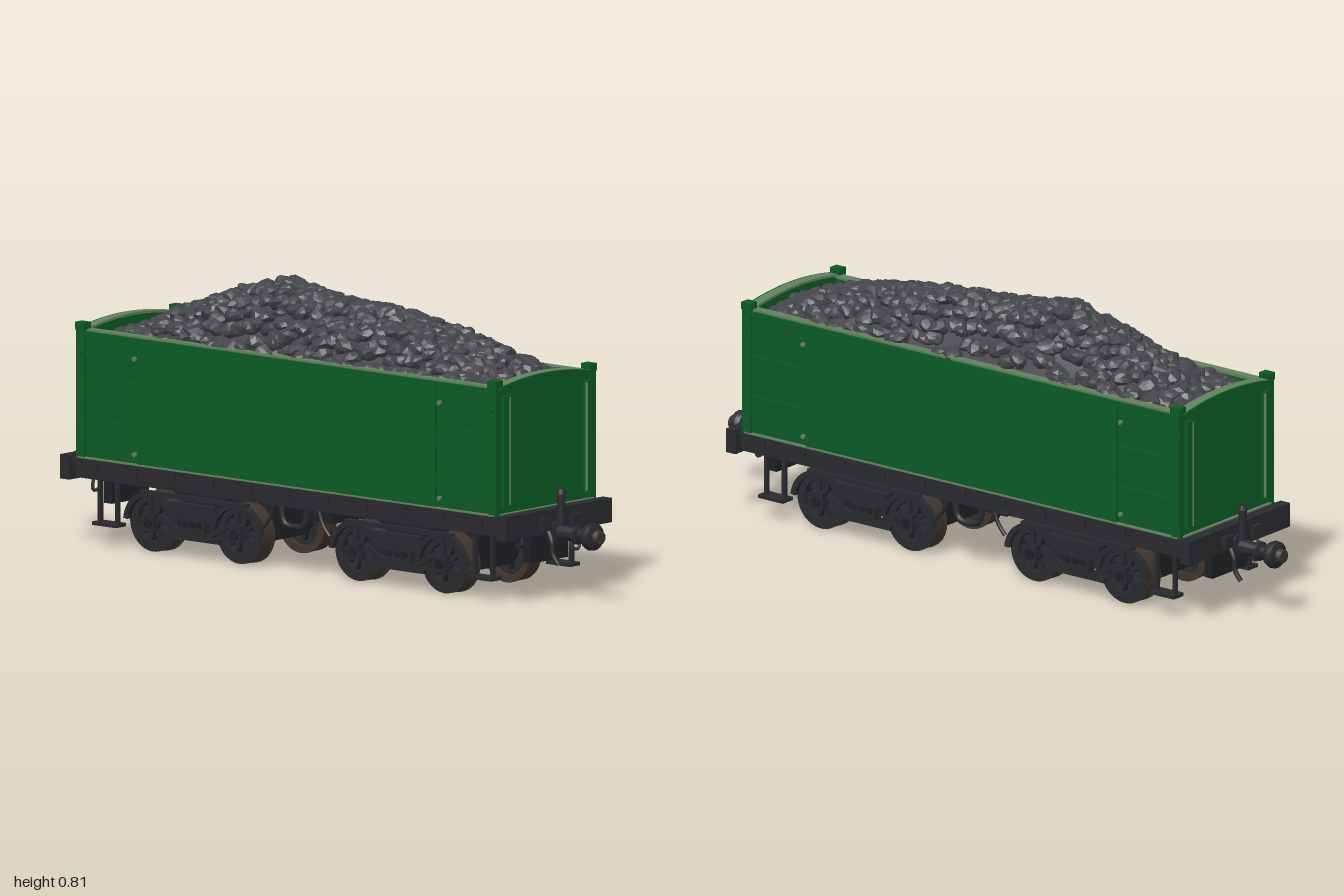
import * as THREE from 'three';
import { mergeGeometries, toCreasedNormals } from 'three/addons/utils/BufferGeometryUtils.js';

const mat = (name, color) => Object.assign(new THREE.MeshStandardMaterial({ color }), { name });

export function createModel() {
  const green = mat('body green', 0x0a5a24);
  const trim = mat('pale green trim', 0x62805f);
  const black = mat('frame black', 0x292a2e);
  const iron = mat('dark iron', 0x1f2023);
  const coal = mat('coal grey', 0x43454a);
  const rust = mat('rusty steel', 0x41352e);

  const model = new THREE.Group();
  model.name = 'coalWagon';
  const group = (name, parent = model) => {
    const g = new THREE.Group();
    g.name = name;
    parent.add(g);
    return g;
  };
  const add = (parent, name, geo, m, x = 0, y = 0, z = 0) => {
    const mesh = new THREE.Mesh(geo, m);
    mesh.name = name;
    mesh.position.set(x, y, z);
    parent.add(mesh);
    return mesh;
  };
  const box = (parent, name, m, w, h, d, x, y, z) => add(parent, name, new THREE.BoxGeometry(w, h, d), m, x, y, z);
  const cylZ = (parent, name, m, r, len, x, y, z, n = 16) =>
    add(parent, name, new THREE.CylinderGeometry(r, r, len, n).rotateX(Math.PI / 2), m, x, y, z);
  const extrude = (shape, depth) => new THREE.ExtrudeGeometry(shape, { depth, bevelEnabled: false, curveSegments: 14 });
  const tube = (parent, name, m, r, pts) => add(parent, name,
    new THREE.TubeGeometry(new THREE.CatmullRomCurve3(pts.map(p => new THREE.Vector3(...p))), 16, r, 8), m);

  // Body sides: raised middle panel, planked end bays, posts and rivets
  const body = group('body');
  box(body, 'floor', iron, 1.56, 0.02, 0.4, 0, 0.262, 0);
  for (const s of [-1, 1]) {
    const side = group(s > 0 ? 'frontSide' : 'backSide', body);
    box(side, 'sideWall', green, 1.57, 0.37, 0.02, 0, 0.438, s * 0.194);
    box(side, 'middlePanel', green, 1.1, 0.36, 0.009, 0, 0.436, s * 0.208);
    box(side, 'topRail', green, 1.58, 0.012, 0.018, 0, 0.614, s * 0.207);
    box(side, 'topTrim', trim, 1.56, 0.008, 0.026, 0, 0.622, s * 0.193);
    box(side, 'bottomTrim', trim, 1.57, 0.005, 0.016, 0, 0.256, s * 0.209);
    for (const e of [-1, 1]) {
      box(side, 'bayPost', green, 0.012, 0.36, 0.014, e * 0.555, 0.436, s * 0.208);
      box(side, 'cornerPost', green, 0.03, 0.38, 0.024, e * 0.777, 0.44, s * 0.204);
      box(side, 'cornerCap', green, 0.034, 0.022, 0.03, e * 0.777, 0.634, s * 0.203);
      for (let i = 0; i < 3; i++) {
        const plank = box(side, 'bayPlank', green, 0.2, 0.112, 0.007, e * 0.662, 0.312 + i * 0.12, s * 0.205);
        plank.rotation.x = s * 0.03;
      }
      for (const y of [0.285, 0.56]) for (const x of [0.575, 0.777])
        cylZ(side, 'rivet', x < 0.7 ? trim : green, 0.007, 0.008, e * x, y, s * (x < 0.7 ? 0.212 : 0.218), 8);
    }
  }

  // Arched end walls
  const archShape = (bottom, half) => {
    const sh = new THREE.Shape();
    const low = bottom === null;
    sh.moveTo(-half, low ? 0.618 : bottom);
    if (low) sh.quadraticCurveTo(0, 0.658, half, 0.618);
    else sh.lineTo(half, bottom);
    sh.lineTo(half, 0.625);
    sh.quadraticCurveTo(0, 0.665, -half, 0.625);
    return sh;
  };
  for (const s of [-1, 1]) {
    const end = group(s > 0 ? 'leftEnd' : 'rightEnd', body);
    end.rotation.y = s > 0 ? 0 : Math.PI;
    add(end, 'endWall', extrude(archShape(0.255, 0.2), 0.022).rotateY(Math.PI / 2), green, 0.767);
    const cap = archShape(null, 0.2);
    add(end, 'endTrim', extrude(cap, 0.03).rotateY(Math.PI / 2), trim, 0.764, 0.002);
    add(end, 'endRail', extrude(cap, 0.008).rotateY(Math.PI / 2), green, 0.792, 0.001);
    for (const z of [-0.178, 0.178]) {
      box(end, 'endPost', green, 0.014, 0.32, 0.024, 0.794, 0.44, z);
      box(end, 'postEdge', trim, 0.006, 0.31, 0.003, 0.801, 0.44, z - Math.sign(z) * 0.012);
    }
    box(end, 'endSill', trim, 0.012, 0.005, 0.4, 0.793, 0.258, 0);
  }

  // Coal heap: a mound covered with irregular lumps
  const ridge = [[-0.77, 0.60], [-0.68, 0.63], [-0.55, 0.69], [-0.4, 0.745], [-0.22, 0.80], [0, 0.765],
    [0.2, 0.755], [0.4, 0.725], [0.55, 0.69], [0.68, 0.645], [0.77, 0.60]];
  const height = (x, z) => {
    let i = 1;
    while (i < ridge.length - 1 && x > ridge[i][0]) i++;
    const [a, b] = [ridge[i - 1], ridge[i]];
    const top = THREE.MathUtils.lerp(a[1], b[1], (x - a[0]) / (b[0] - a[0]));
    const t = (z + 0.035) / (z > -0.035 ? 0.225 : 0.155);
    return 0.6 + (top - 0.6) * Math.max(0, 1 - t * t);
  };
  let seed = 7;
  const rand = () => (seed = (seed * 16807) % 2147483647) / 2147483647;
  const mound = new THREE.PlaneGeometry(1.53, 0.37, 44, 12).rotateX(-Math.PI / 2);
  const mp = mound.attributes.position;
  for (let i = 0; i < mp.count; i++) mp.setY(i, height(mp.getX(i), mp.getZ(i)) - 0.022);
  mound.computeVertexNormals();
  const load = group('coalLoad');
  add(load, 'coalMound', mound, coal);
  const lumps = [];
  for (let i = 0; i < 40; i++) for (let j = 0; j < 11; j++) {
    const x = -0.735 + i * 0.0377 + (rand() - 0.5) * 0.03;
    const z = -0.163 + j * 0.0325 + (rand() - 0.5) * 0.025;
    const r = 0.022 + rand() * 0.013;
    const g = new THREE.IcosahedronGeometry(1, 1);
    const p = g.attributes.position, k = rand() * 20;
    for (let v = 0; v < p.count; v++) {
      const f = 1 + 0.13 * Math.sin(p.getX(v) * 5 + p.getY(v) * 7 + p.getZ(v) * 9 + k);
      p.setXYZ(v, p.getX(v) * f, p.getY(v) * f, p.getZ(v) * f);
    }
    g.scale(r * 1.15, r * 0.75, r).rotateX(rand() - 0.5).rotateY(rand() * 6.28).rotateZ(rand() - 0.5);
    g.translate(x, height(x, z) - r * 0.4, z);
    g.computeVertexNormals();
    lumps.push(g);
  }
  add(load, 'coalLumps', mergeGeometries(lumps), coal);

  // Underframe with sole bars, brackets and steps
  const frame = group('underframe');
  box(frame, 'deck', black, 1.66, 0.03, 0.42, 0, 0.237, 0);
  box(frame, 'underDeck', iron, 1.6, 0.03, 0.36, 0, 0.208, 0);
  box(frame, 'centreTank', iron, 0.1, 0.06, 0.14, 0, 0.165, 0);
  for (const s of [-1, 1]) {
    box(frame, 'soleBar', black, 1.62, 0.036, 0.02, 0, 0.212, s * 0.19);
    box(frame, 'soleFlange', black, 1.62, 0.008, 0.03, 0, 0.25, s * 0.207);
    for (let i = -5; i <= 5; i++) box(frame, 'bracket', black, 0.03, 0.03, 0.016, i * 0.145, 0.236, s * 0.21);
    tube(frame, 'centreHanger', black, 0.009, [[-0.05, 0.2, s * 0.18], [-0.035, 0.143, s * 0.18], [0.035, 0.143, s * 0.18], [0.05, 0.2, s * 0.18]]);
    for (const e of [-1, 1]) {
      tube(frame, 'brakeHook', black, 0.006, [[e * 0.08, 0.2, s * 0.17], [e * 0.1, 0.15, s * 0.17], [e * 0.125, 0.12, s * 0.17]]);
      box(frame, 'step', black, 0.09, 0.01, 0.045, e * 0.708, 0.066, s * 0.17);
      for (const x of [0.675, 0.74]) box(frame, 'stepHanger', black, 0.011, 0.14, 0.012, e * x, 0.132, s * 0.17);
    }
  }

  // Ends: buffer beam, central buffer, stand pipe and hoses
  const profile = [[0, 0.83], [0.042, 0.83], [0.042, 0.845], [0.024, 0.85], [0.02, 0.905], [0.028, 0.908], [0.028, 0.918],
    [0.018, 0.922], [0.018, 0.945], [0.034, 0.95], [0.04, 0.963], [0.038, 0.978], [0.024, 0.985], [0, 0.986]];
  const bufferGeo = toCreasedNormals(new THREE.LatheGeometry(profile.map(p => new THREE.Vector2(...p)), 20), 0.6)
    .rotateZ(-Math.PI / 2);
  for (const s of [-1, 1]) {
    const end = group(s > 0 ? 'leftCoupling' : 'rightCoupling');
    end.rotation.y = s > 0 ? 0 : Math.PI;
    box(end, 'bufferBeam', black, 0.035, 0.07, 0.46, 0.823, 0.225, 0);
    add(end, 'buffer', bufferGeo, black, 0, 0.19, 0);
    add(end, 'bufferFace', new THREE.CylinderGeometry(0.019, 0.022, 0.016, 16).rotateZ(-Math.PI / 2), rust, 0.992, 0.19, 0);
    add(end, 'standPipe', new THREE.CylinderGeometry(0.012, 0.012, 0.11, 12), black, 0.85, 0.255, 0);
    add(end, 'pipeCap', new THREE.CylinderGeometry(0.012, 0.016, 0.014, 12), black, 0.85, 0.308, 0);
    box(end, 'drawPlate', iron, 0.03, 0.13, 0.16, 0.79, 0.17, 0);
    for (const z of [-0.065, 0.065]) box(end, 'beamBlock', black, 0.02, 0.036, 0.035, 0.845, 0.22, z);
    tube(end, 'hose', black, 0.007, [[0.84, 0.2, 0.045], [0.858, 0.17, 0.05], [0.862, 0.135, 0.05], [0.88, 0.105, 0.046]]);
    tube(end, 'chain', rust, 0.005, [[0.842, 0.19, -0.045], [0.85, 0.14, -0.048], [0.85, 0.137, -0.075], [0.842, 0.19, -0.08]]);
  }

  // Bogies with spoked wheels, arched side frames and axle boxes
  const ring = (outer, inner, depth) => {
    const sh = new THREE.Shape().absarc(0, 0, outer, 0, Math.PI * 2);
    sh.holes.push(new THREE.Path().absarc(0, 0, inner, 0, Math.PI * 2, true));
    return toCreasedNormals(new THREE.ExtrudeGeometry(sh, { depth, bevelEnabled: false, curveSegments: 28 }), 0.5);
  };
  const tread = ring(0.086, 0.066, 0.052), flange = ring(0.092, 0.07, 0.008), web = ring(0.068, 0.058, 0.04);
  const arch = new THREE.Shape().absarc(0, 0, 0.096, 0.1, Math.PI - 0.1);
  arch.absarc(0, 0, 0.08, Math.PI - 0.1, 0.1, true);
  const archGeo = extrude(arch, 0.02);
  for (const b of [-1, 1]) {
    const bogie = group(b > 0 ? 'leftBogie' : 'rightBogie');
    bogie.position.x = b * 0.387;
    box(bogie, 'bolster', iron, 0.13, 0.08, 0.3, 0, 0.13, 0);
    box(bogie, 'gearCase', iron, 0.44, 0.12, 0.16, 0, 0.125, 0);
    cylZ(bogie, 'pivot', iron, 0.07, 0.05, 0, 0.19, 0).rotation.x = Math.PI / 2;
    for (const a of [-0.163, 0.163]) {
      cylZ(bogie, 'axle', iron, 0.024, 0.3, a, 0.088, 0);
      cylZ(bogie, 'axleSleeve', iron, 0.045, 0.13, a, 0.1, 0, 20);
      for (const s of [-1, 1]) {
        const wheel = group('wheel', bogie);
        wheel.position.set(a, 0.088, 0);
        wheel.rotation.y = s > 0 ? 0 : Math.PI;
        add(wheel, 'tread', tread, rust, 0, 0, 0.108);
        add(wheel, 'flange', flange, rust, 0, 0, 0.106).scale.set(0.955, 0.955, 1);
        add(wheel, 'wheelFace', web, black, 0, 0, 0.122);
        add(wheel, 'rimFace', ring(0.084, 0.06, 0.004), black, 0, 0, 0.159);
        cylZ(wheel, 'hub', black, 0.024, 0.056, 0, 0, 0.137);
        for (let i = 0; i < 5; i++) {
          box(wheel, 'spoke', black, 0.13, 0.012, 0.022, 0, 0, 0.142).rotation.z = i * Math.PI / 5;
        }
        add(wheel, 'wheelGuard', archGeo, black, 0, -0.006, 0.16);
        box(wheel, 'axleBox', black, 0.04, 0.05, 0.025, 0, 0.002, 0.17);
        cylZ(wheel, 'axleCap', iron, 0.015, 0.008, 0, 0, 0.184, 12);
        box(wheel, 'guide', black, 0.014, 0.07, 0.012, 0, 0.045, 0.168);
      }
    }
    for (const s of [-1, 1]) {
      box(bogie, 'sideFrame', black, 0.17, 0.045, 0.022, 0, 0.135, s * 0.168);
      box(bogie, 'lowerBar', black, 0.2, 0.016, 0.018, 0, 0.06, s * 0.168);
      box(bogie, 'springBox', black, 0.09, 0.07, 0.028, 0, 0.098, s * 0.164);
      box(bogie, 'sideBearer', black, 0.4, 0.012, 0.02, 0, 0.172, s * 0.168);
      for (const x of [-0.028, 0, 0.028]) cylZ(bogie, 'springBolt', iron, 0.01, 0.01, x, 0.1, s * 0.18, 8);
      for (const e of [-1, 1]) {
        box(bogie, 'frameStrut', black, 0.1, 0.016, 0.016, e * 0.085, 0.085, s * 0.168).rotation.z = e * 0.5;
        box(bogie, 'brakeShoe', iron, 0.016, 0.05, 0.04, e * 0.065, 0.09, s * 0.135);
      }
    }
  }
  return model;
}
